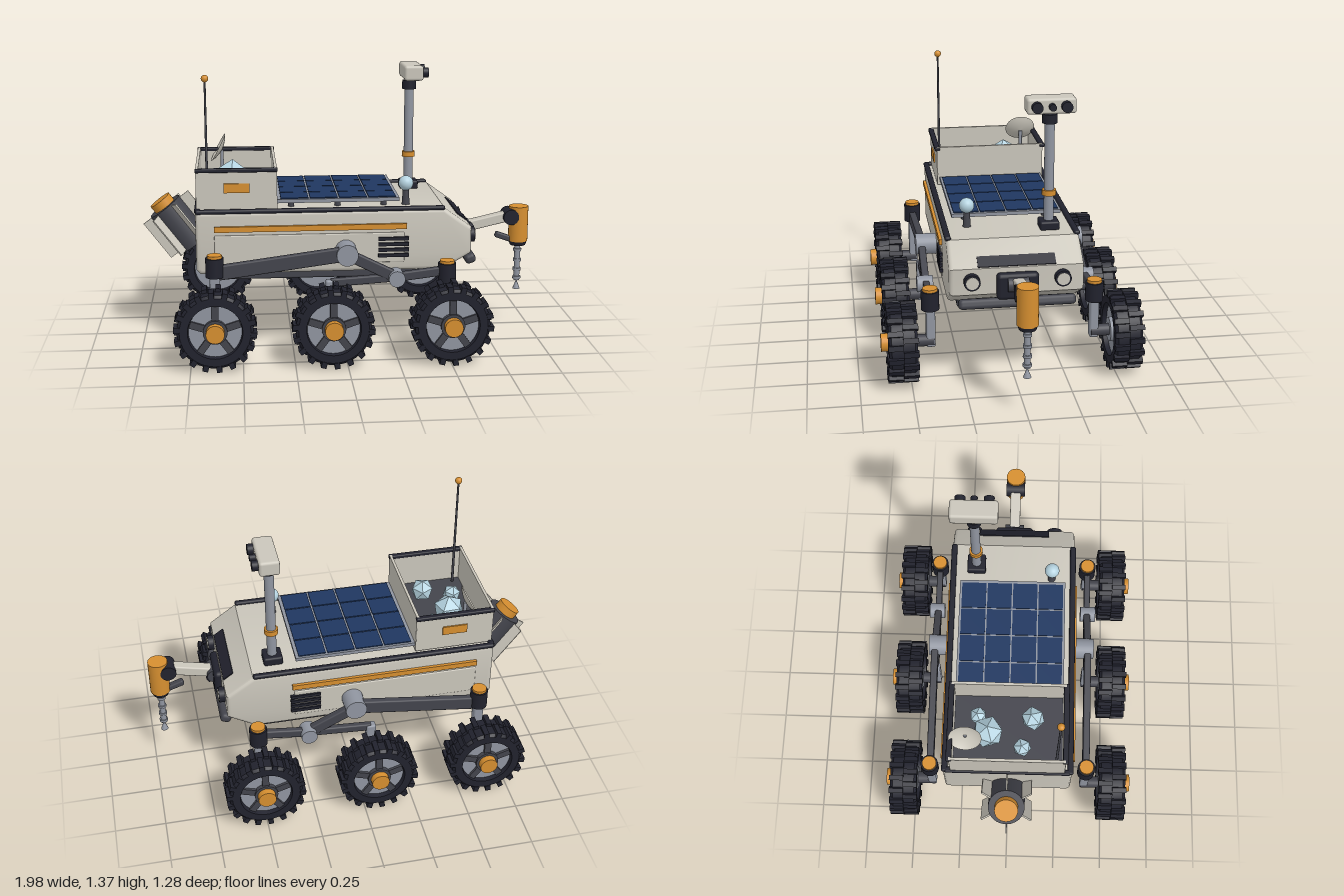
import * as THREE from 'three';
import { toCreasedNormals } from 'three/addons/utils/BufferGeometryUtils.js';
import { RoundedBoxGeometry } from 'three/addons/geometries/RoundedBoxGeometry.js';

const paint = (name, color) => {
  const m = new THREE.MeshStandardMaterial({ color });
  m.name = name;
  return m;
};

export function createModel() {
  const shell = paint('warm white', 0xcac6bb);
  const black = paint('charcoal', 0x21222d);
  const dark = paint('dark grey', 0x43444c);
  const metal = paint('metal grey', 0x9095a0);
  const orange = paint('orange', 0xd68f30);
  const cell = paint('solar blue', 0x1f3760);
  const ice = paint('pale blue', 0xb5d3e0);
  const dishPaint = paint('dish white', 0xcac6bb);
  dishPaint.side = THREE.DoubleSide;

  const model = new THREE.Group();
  model.name = 'rover';
  const add = (parent, name, geo, mat, x = 0, y = 0, z = 0) => {
    const m = new THREE.Mesh(geo, mat);
    m.name = name;
    m.position.set(x, y, z);
    parent.add(m);
    return m;
  };
  const group = (name, parent = model) => {
    const g = new THREE.Group();
    g.name = name;
    parent.add(g);
    return g;
  };
  const box = (w, h, d) => new THREE.BoxGeometry(w, h, d);
  const round = (w, h, d, r = 0.01) => new RoundedBoxGeometry(w, h, d, 2, r);
  const cyl = (r, h, r2 = r, n = 24) => new THREE.CylinderGeometry(r2, r, h, n);
  const cylZ = (r, h, n = 24) => cyl(r, h, r, n).rotateX(Math.PI / 2);
  const cylX = (r, h, n = 24) => cyl(r, h, r, n).rotateZ(-Math.PI / 2);
  // Bar in the x-y plane between two points
  const bar = (parent, name, a, b, h, d, z, mat) => {
    const dx = b[0] - a[0], dy = b[1] - a[1];
    const m = add(parent, name, round(Math.hypot(dx, dy), h, d, 0.008), mat, (a[0] + b[0]) / 2, (a[1] + b[1]) / 2, z);
    m.rotation.z = Math.atan2(dy, dx);
    return m;
  };

  // Hull with sloped nose and softened edges
  const profile = new THREE.Shape([[-0.7, 0.4], [0.5, 0.4], [0.635, 0.48], [0.635, 0.61], [0.5, 0.708], [-0.72, 0.708], [-0.72, 0.42]]
    .map(p => new THREE.Vector2(...p)));
  const hull = new THREE.ExtrudeGeometry(profile, { depth: 0.6, bevelSize: 0.02, bevelOffset: -0.02, bevelThickness: 0.02, bevelSegments: 3 });
  add(model, 'hull', toCreasedNormals(hull.translate(0, 0, -0.3), 0.6), shell);
  add(model, 'bellyPlate', round(1.14, 0.06, 0.54), dark, -0.08, 0.387, 0);
  for (const s of [1, -1]) {
    add(model, 'topRail', round(1.22, 0.022, 0.03), black, -0.11, 0.712, s * 0.31);
    add(model, 'sidePanel', round(0.93, 0.15, 0.016, 0.006), shell, -0.165, 0.52, s * 0.318);
    add(model, 'sideStripe', box(0.94, 0.027, 0.02), orange, -0.16, 0.627, s * 0.325);
    for (let i = 0; i < 4; i++) add(model, 'ventSlat', box(0.15, 0.017, 0.02), black, 0.245, 0.565 - i * 0.028, s * 0.325);
  }
  add(model, 'rearRail', round(0.03, 0.022, 0.62), black, -0.71, 0.712, 0);

  // Nose details
  add(model, 'noseSlot', box(0.06, 0.02, 0.37), black, 0.603, 0.627, 0).rotation.z = -0.63;
  add(model, 'bumper', round(0.055, 0.05, 0.56, 0.02), dark, 0.64, 0.437, 0).rotation.z = 0.35;
  for (const s of [1, -1]) {
    add(model, 'headlightRing', cylX(0.039, 0.04), black, 0.645, 0.55, s * 0.215);
    add(model, 'headlightLens', cylX(0.03, 0.008), shell, 0.665, 0.55, s * 0.215);
  }

  // Sample bin
  const bin = group('sampleBin');
  add(bin, 'binFloor', box(0.38, 0.02, 0.55), dark, -0.518, 0.725, 0);
  for (const s of [1, -1]) {
    add(bin, 'binSide', box(0.39, 0.2, 0.014), shell, -0.518, 0.815, s * 0.275);
    add(bin, 'binEnd', box(0.014, 0.205, 0.56), shell, -0.518 + s * 0.19, 0.818, 0);
    add(bin, 'binRim', round(0.4, 0.02, 0.028, 0.006), black, -0.518, 0.91, s * 0.28);
    add(bin, 'binBadge', box(0.125, 0.046, 0.008), orange, -0.518, 0.822, s * 0.285);
  }
  [[-0.54, 0.81, -0.1, 0.08], [-0.45, 0.78, -0.15, 0.045], [-0.605, 0.78, 0.07, 0.047], [-0.46, 0.79, 0.12, 0.06]].forEach(([x, y, z, r], i) => {
    add(bin, 'crystalSample', new THREE.IcosahedronGeometry(r, 0), ice, x, y, z).rotation.set(i, i * 0.7 + 0.3, 0.5);
  });

  // Whip antenna and dish
  add(model, 'antennaRod', cyl(0.007, 0.62, 0.005, 10), dark, -0.66, 1.04, 0.24);
  add(model, 'antennaTip', new THREE.SphereGeometry(0.018, 16, 12), orange, -0.66, 1.35, 0.24);
  const dish = group('dish');
  dish.position.set(-0.605, 0.93, -0.205);
  dish.rotation.z = 1.08;
  const bowl = [[0.001, -0.018], [0.03, -0.015], [0.06, -0.006], [0.08, 0.006]].map(p => new THREE.Vector2(...p));
  add(dish, 'dishBowl', new THREE.LatheGeometry(bowl, 28), dishPaint);
  add(model, 'dishStem', cyl(0.009, 0.18, 0.009, 10), metal, -0.59, 0.83, -0.205);

  // Solar panel, four by four cells
  const solar = group('solarPanel');
  add(solar, 'panelFrame', box(0.6, 0.018, 0.54), metal, -0.02, 0.749, 0);
  for (let i = 0; i < 4; i++) for (let j = 0; j < 4; j++)
    add(solar, 'solarCell', box(0.136, 0.006, 0.124), cell, -0.236 + i * 0.144, 0.76, -0.1965 + j * 0.131);
  for (const x of [-0.25, -0.02, 0.21]) for (const z of [-0.2, 0.2])
    add(solar, 'panelFoot', cyl(0.015, 0.04), dark, x, 0.725, z);

  // Camera mast
  const mast = group('cameraMast');
  mast.position.set(0.385, 0, -0.19);
  add(mast, 'mastBase', round(0.095, 0.045, 0.095), black, 0, 0.727, 0);
  add(mast, 'mastPole', cyl(0.024, 0.5), metal, 0, 0.99, 0);
  add(mast, 'mastCollar', cyl(0.034, 0.027), orange, 0, 0.888, 0);
  add(mast, 'mastNeck', cyl(0.036, 0.045), black, 0, 1.253, 0);
  add(mast, 'cameraHead', round(0.098, 0.077, 0.235, 0.014), shell, 0.01, 1.323, 0);
  for (const [z, r] of [[0.072, 0.026], [0, 0.017], [-0.068, 0.026]]) add(mast, 'cameraLens', cylX(r, 0.04), black, 0.068, 1.323, z);

  // Sensor ball
  add(model, 'sensorStem', cyl(0.02, 0.08, 0.015), dark, 0.32, 0.745, 0.2);
  add(model, 'sensorBall', new THREE.SphereGeometry(0.037, 24, 16), ice, 0.32, 0.815, 0.2);

  // Arm and drill
  const arm = group('drillArm');
  add(arm, 'shoulderMount', round(0.05, 0.13, 0.2, 0.02), black, 0.645, 0.522, 0);
  add(arm, 'shoulderJoint', cylZ(0.035, 0.1), dark, 0.665, 0.535, 0);
  bar(arm, 'upperArm', [0.66, 0.537], [0.89, 0.59], 0.052, 0.055, 0, shell);
  add(arm, 'elbow', cylZ(0.04, 0.1), black, 0.893, 0.588, 0);
  bar(arm, 'lowerLink', [0.82, 0.492], [0.91, 0.46], 0.03, 0.035, 0, dark);
  const drill = group('drill', arm);
  drill.position.x = 0.94;
  add(drill, 'drillMotor', cyl(0.05, 0.185), orange, 0, 0.547, 0);
  add(drill, 'drillChuck', cyl(0.04, 0.025, 0.048), black, 0, 0.445, 0);
  add(drill, 'drillShaft', cyl(0.015, 0.2), metal, 0, 0.34, 0);
  for (const y of [0.405, 0.35, 0.3, 0.255]) add(drill, 'drillCollar', cyl(0.021, 0.014), metal, 0, y, 0);
  add(drill, 'drillTip', new THREE.ConeGeometry(0.019, 0.05, 16), metal, 0, 0.218, 0);

  // Tilted power unit with six cooling fins
  const power = group('powerUnit');
  power.position.set(-0.81, 0.577, 0);
  power.rotation.z = 0.64;
  add(power, 'powerCore', cyl(0.09, 0.24), dark);
  add(power, 'powerCap', cyl(0.058, 0.045), orange, 0, 0.138, 0);
  for (let i = 0; i < 6; i++) {
    const a = i * Math.PI / 3;
    add(power, 'coolingFin', box(0.09, 0.225, 0.008), shell, Math.cos(a) * 0.097, 0, -Math.sin(a) * 0.097).rotation.y = a;
  }
  add(model, 'powerBracket', box(0.1, 0.08, 0.12), dark, -0.73, 0.53, 0);

  // Suspension on each side
  const wheelX = [-0.63, -0.07, 0.5];
  for (const s of [1, -1]) {
    const side = group(s > 0 ? 'suspensionNear' : 'suspensionFar');
    const z = s * 0.4;
    bar(side, 'rockerRear', [-0.63, 0.43], [0.02, 0.515], 0.072, 0.036, z, dark);
    bar(side, 'rockerFront', [0, 0.515], [0.25, 0.39], 0.055, 0.036, z, dark);
    bar(side, 'bogieFront', [0.25, 0.39], [0.5, 0.42], 0.045, 0.032, z, dark);
    bar(side, 'bogieRear', [0.25, 0.39], [-0.07, 0.37], 0.04, 0.032, z, dark);
    add(side, 'rockerPivot', cylZ(0.053, 0.12), metal, 0.01, 0.51, s * 0.37);
    add(side, 'bogiePivot', cylZ(0.04, 0.08), metal, 0.25, 0.39, s * 0.405);
    wheelX.forEach((x, i) => {
      const top = [0.42, 0.385, 0.37][i];
      add(side, 'wheelLeg', round(0.05, top - 0.17, 0.045), metal, x, (top + 0.17) / 2, z);
      add(side, 'axle', cylZ(0.03, 0.12), dark, x, 0.2, s * 0.445);
      if (i === 1) return;
      add(side, 'steeringMotor', cyl(0.044, 0.095), black, x, top + 0.04, z);
      add(side, 'steeringRing', cyl(0.036, 0.016), orange, x, top + 0.093, z);
    });
  }

  // Wheels, outer face towards +z before turning
  const tyre = toCreasedNormals(new THREE.LatheGeometry(
    [[0.125, -0.04], [0.13, -0.068], [0.168, -0.068], [0.181, -0.055], [0.181, 0.055], [0.168, 0.068], [0.13, 0.068], [0.125, 0.04]]
      .map(p => new THREE.Vector2(...p)), 40).rotateX(Math.PI / 2), 0.5);
  const lug = box(0.026, 0.03, 0.073);
  for (const x of wheelX) for (const s of [1, -1]) {
    const wheel = group('wheel');
    wheel.position.set(x, 0.2, s * 0.541);
    if (s < 0) wheel.rotation.y = Math.PI;
    add(wheel, 'tyre', tyre, black);
    for (let i = 0; i < 36; i++) {
      const a = (i + 0.5) * Math.PI / 18;
      add(wheel, 'treadLug', lug, black, Math.sin(a) * 0.182, Math.cos(a) * 0.182, i % 2 ? 0.036 : -0.036).rotation.z = -a;
    }
    add(wheel, 'rimDisc', cylZ(0.127, 0.09, 40), metal);
    add(wheel, 'innerHub', cylZ(0.06, 0.03), metal, 0, 0, -0.05);
    for (let i = 0; i < 5; i++) {
      const a = Math.PI / 2 + i * Math.PI * 0.4;
      add(wheel, 'spoke', box(0.09, 0.034, 0.016), dark, Math.cos(a) * 0.08, Math.sin(a) * 0.08, 0.05).rotation.z = a;
    }
    add(wheel, 'hubBase', cylZ(0.058, 0.03), dark, 0, 0, 0.052);
    add(wheel, 'hubCap', cylZ(0.044, 0.05), orange, 0, 0, 0.075);
  }
  return model;
}
